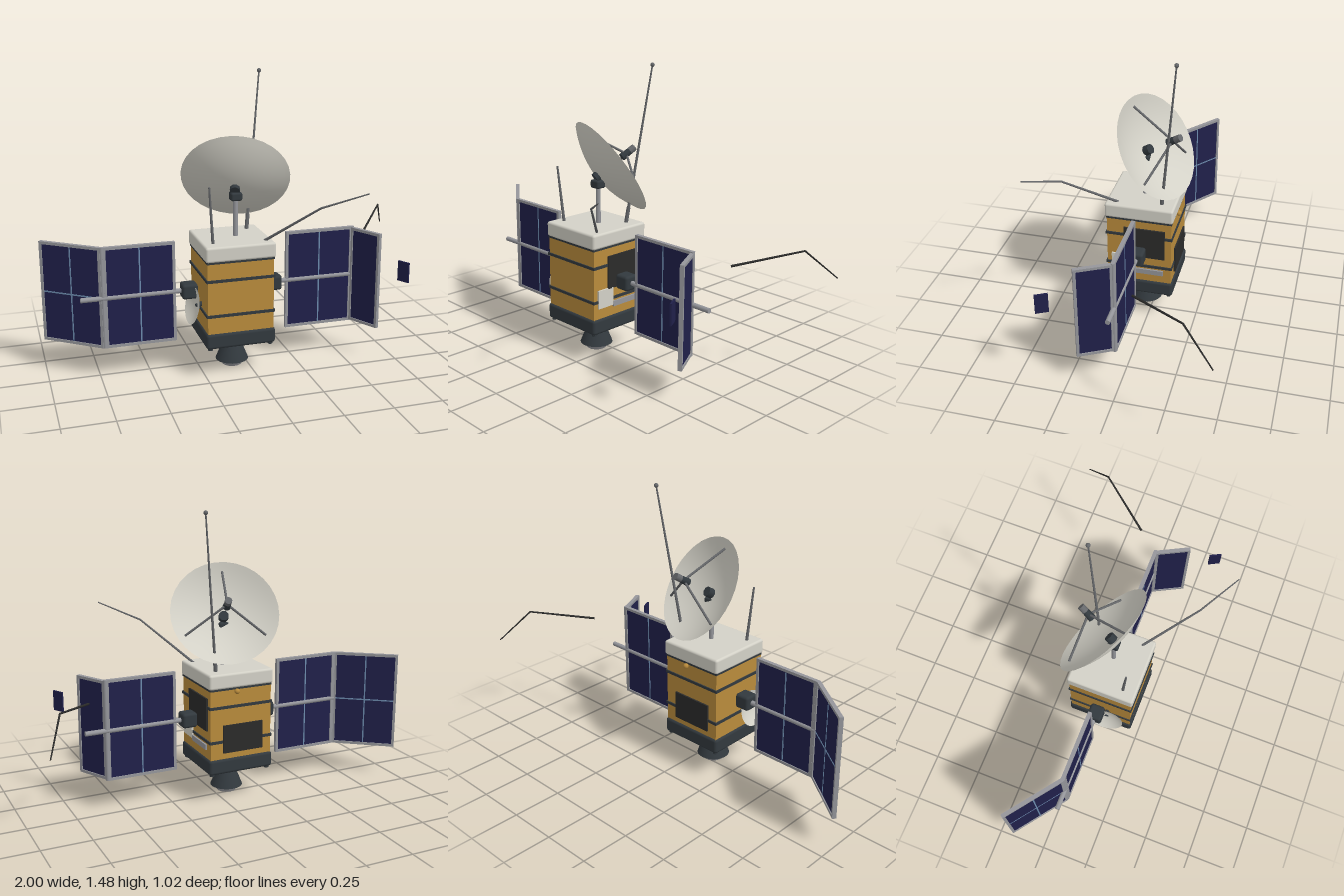
import * as THREE from 'three';
import { RoundedBoxGeometry } from 'three/addons/geometries/RoundedBoxGeometry.js';

const mat = (name, color, side = THREE.FrontSide) => {
  const m = new THREE.MeshStandardMaterial({ color, side });
  m.name = name;
  return m;
};
const V = (x, y, z) => new THREE.Vector3(x, y, z);
const UP = V(0, 1, 0);

export function createModel() {
  const gold = mat('gold foil', 0xb98b3c);
  const cream = mat('cream paint', 0xd3d1c7, THREE.DoubleSide);
  const dark = mat('dark slate', 0x32393e);
  const black = mat('black plate', 0x2b2b2a);
  const grey = mat('grey metal', 0x95969b);
  const rodGrey = mat('dark grey metal', 0x66686b);
  const navy = mat('navy solar cell', 0x20204a);
  const blue = mat('pale blue line', 0x6c8bad);

  const model = new THREE.Group();
  const add = (name, geo, material, x = 0, y = 0, z = 0, parent = model) => {
    const m = new THREE.Mesh(geo, material);
    m.name = name;
    m.position.set(x, y, z);
    parent.add(m);
    return m;
  };
  const box = (name, material, size, pos, parent) =>
    add(name, new THREE.BoxGeometry(...size), material, ...pos, parent);
  const rounded = (name, material, size, pos, r = 0.012) =>
    add(name, new RoundedBoxGeometry(...size, 2, r), material, ...pos);
  // Straight round bar between two points
  const rod = (name, material, a, b, ra, rb = ra, sides = 10) => {
    const d = b.clone().sub(a);
    const m = add(name, new THREE.CylinderGeometry(rb, ra, d.length(), sides), material);
    m.position.copy(a).addScaledVector(d, 0.5);
    m.quaternion.setFromUnitVectors(UP, d.normalize());
    return m;
  };
  // Shallow bowl whose rim centre is c and which opens along n
  const bowl = (name, c, n, R, depth) => {
    const pts = [];
    for (let i = 0; i <= 10; i++) {
      const t = i / 10;
      pts.push(new THREE.Vector2(R * t, depth * (t * t - 1)));
    }
    const m = add(name, new THREE.LatheGeometry(pts, 32), cream);
    m.position.copy(c);
    m.quaternion.setFromUnitVectors(UP, n);
    return m;
  };

  const cx = -0.077, cz = 0.041;

  // Main body
  box('body', gold, [0.336, 0.37, 0.336], [cx, 0.42, cz]);
  rounded('topCap', cream, [0.354, 0.077, 0.354], [cx, 0.643, cz]);
  box('capSeam', dark, [0.342, 0.012, 0.342], [cx, 0.602, cz]);
  rounded('base', dark, [0.354, 0.08, 0.354], [cx, 0.199, cz], 0.015);
  for (const y of [0.509, 0.33]) box('bodyBand', dark, [0.348, 0.014, 0.348], [cx, y, cz]);
  for (const sx of [-1, 1]) for (const sz of [-1, 1])
    add('baseFoot', new THREE.CylinderGeometry(0.012, 0.012, 0.02, 10), dark, cx + sx * 0.155, 0.16, cz + sz * 0.155);

  // Equipment plates on the side and the back
  box('sideRadiator', black, [0.009, 0.169, 0.214], [0.096, 0.47, 0.013]);
  box('sideVent', grey, [0.009, 0.028, 0.17], [0.096, 0.298, -0.001]);
  box('sidePalePlate', cream, [0.009, 0.095, 0.1], [0.096, 0.342, 0.135]);
  box('backRadiator', black, [0.22, 0.145, 0.009], [-0.085, 0.343, -0.133]);
  add('backSensor', new THREE.SphereGeometry(0.014, 14, 10), gold, -0.05, 0.587, -0.136);

  // Engine nozzle
  add('nozzle', new THREE.CylinderGeometry(0.043, 0.084, 0.102, 24), dark, cx, 0.079, cz);
  add('nozzleRing', new THREE.CylinderGeometry(0.066, 0.05, 0.028, 24), grey, cx, 0.014, cz);

  // Main dish on its mast
  const n = V(0.267, 0.538, -0.8).normalize();
  const rim = V(-0.037, 0.966, -0.022);
  const along = t => rim.clone().addScaledVector(n, t);
  rod('mast', grey, V(-0.056, 0.67, 0.043), V(-0.056, 0.89, 0.043), 0.012);
  rounded('mastHead', dark, [0.058, 0.042, 0.056], [-0.056, 0.884, 0.045], 0.01);
  bowl('mainDish', rim, n, 0.273, 0.08);
  rod('dishHub', dark, along(-0.1), along(-0.045), 0.026, 0.026, 8);
  for (const p of [V(-0.083, 1.147, 0.107), V(0.175, 0.865, -0.01), V(-0.21, 0.857, -0.13)])
    rod('feedStrut', rodGrey, p, along(0.105), 0.006);
  rod('feedHorn', dark, along(0.075), along(0.13), 0.02, 0.017, 14);
  rod('feedTip', rodGrey, along(0.125), along(0.158), 0.018, 0.018, 14);

  // Small side dish
  const sn = V(-0.965, 0.22, 0.1).normalize();
  const sc = V(-0.295, 0.352, 0.09);
  bowl('sideDish', sc, sn, 0.092, 0.024);
  rod('sideDishArm', dark, V(-0.235, 0.36, 0.08), sc.clone().addScaledVector(sn, -0.022), 0.012);

  // Whip antennas
  const whip = (name, material, pts, r0, r1) => {
    for (let i = 0; i < pts.length - 1; i++) {
      const r = k => r0 + (r1 - r0) * k / (pts.length - 1);
      rod(name, material, pts[i], pts[i + 1], r(i), r(i + 1), 8);
      if (i) add(name + 'Joint', new THREE.SphereGeometry(r(i), 8, 6), material, ...pts[i].toArray());
    }
  };
  const tall = [V(0.033, 0.67, -0.063), V(0.125, 1.473, -0.149)];
  whip('tallAntenna', rodGrey, tall, 0.008, 0.004);
  rod('tallAntennaSocket', rodGrey, tall[0], tall[0].clone().lerp(tall[1], 0.11), 0.01);
  add('tallAntennaBall', new THREE.SphereGeometry(0.011, 12, 8), rodGrey, ...tall[1].toArray());
  whip('shortAntenna', rodGrey, [V(-0.2, 0.67, 0.147), V(-0.222, 0.966, 0.168)], 0.008, 0.005);
  whip('bentAntenna', rodGrey, [V(0.05, 0.67, 0.149), V(0.262, 0.88, 0.378), V(0.448, 0.966, 0.505)], 0.007, 0.003);
  whip('looseAntenna', black, [V(0.7, 0.608, -0.087), V(0.91, 0.67, -0.36), V(0.998, 0.524, -0.508)], 0.006, 0.003);

  // Solar wings
  const panel = (name, x0, z0, x1, z1, y0, y1, lines) => {
    const g = new THREE.Group();
    g.name = name;
    g.position.set((x0 + x1) / 2, (y0 + y1) / 2, (z0 + z1) / 2);
    g.rotation.y = Math.atan2(-(z1 - z0), x1 - x0);
    model.add(g);
    const w = Math.hypot(x1 - x0, z1 - z0), h = y1 - y0, f = 0.014;
    box('cells', navy, [w - f, h - f, 0.01], [0, 0, 0], g);
    for (const s of [-1, 1]) {
      box('frameRail', grey, [w, f, 0.02], [0, s * (h - f) / 2, 0], g);
      box('framePost', grey, [f, h, 0.02], [s * (w - f) / 2, 0, 0], g);
    }
    if (lines) {
      box('verticalLine', blue, [0.007, h - 2 * f, 0.013], [0, 0, 0], g);
      box('crossLine', blue, [w - 2 * f, 0.007, 0.013], [0, 0, 0], g);
    }
  };
  panel('rightInnerPanel', -0.72, 0.037, -0.366, 0.037, 0.16, 0.677, true);
  panel('rightOuterPanel', -0.997, -0.168, -0.728, 0.037, 0.16, 0.677, true);
  panel('leftInnerPanel', 0.211, 0.037, 0.575, 0.037, 0.16, 0.677, true);
  panel('leftOuterPanel', 0.575, 0.04, 0.66, 0.204, 0.165, 0.672, false);
  for (const x of [-0.724, 0.575]) rod('panelHinge', grey, V(x, 0.16, 0.037), V(x, 0.677, 0.037), 0.011);

  // Wing booms and drive units
  rod('rightBoom', grey, V(-0.835, 0.418, 0.037), V(-0.3, 0.418, 0.037), 0.0125, 0.0125, 12);
  rod('leftBoom', grey, V(0.14, 0.418, 0.037), V(0.684, 0.418, 0.037), 0.0125, 0.0125, 12);
  for (const x of [-0.298, 0.143]) rounded('wingDrive', dark, [0.08, 0.077, 0.077], [x, 0.418, 0.038], 0.014);

  // Loose panel fragment
  const chip = box('looseFragment', navy, [0.064, 0.103, 0.009], [0.729, 0.508, 0.335]);
  chip.rotation.y = Math.atan2(-0.057, 0.03);

  return model;
}
